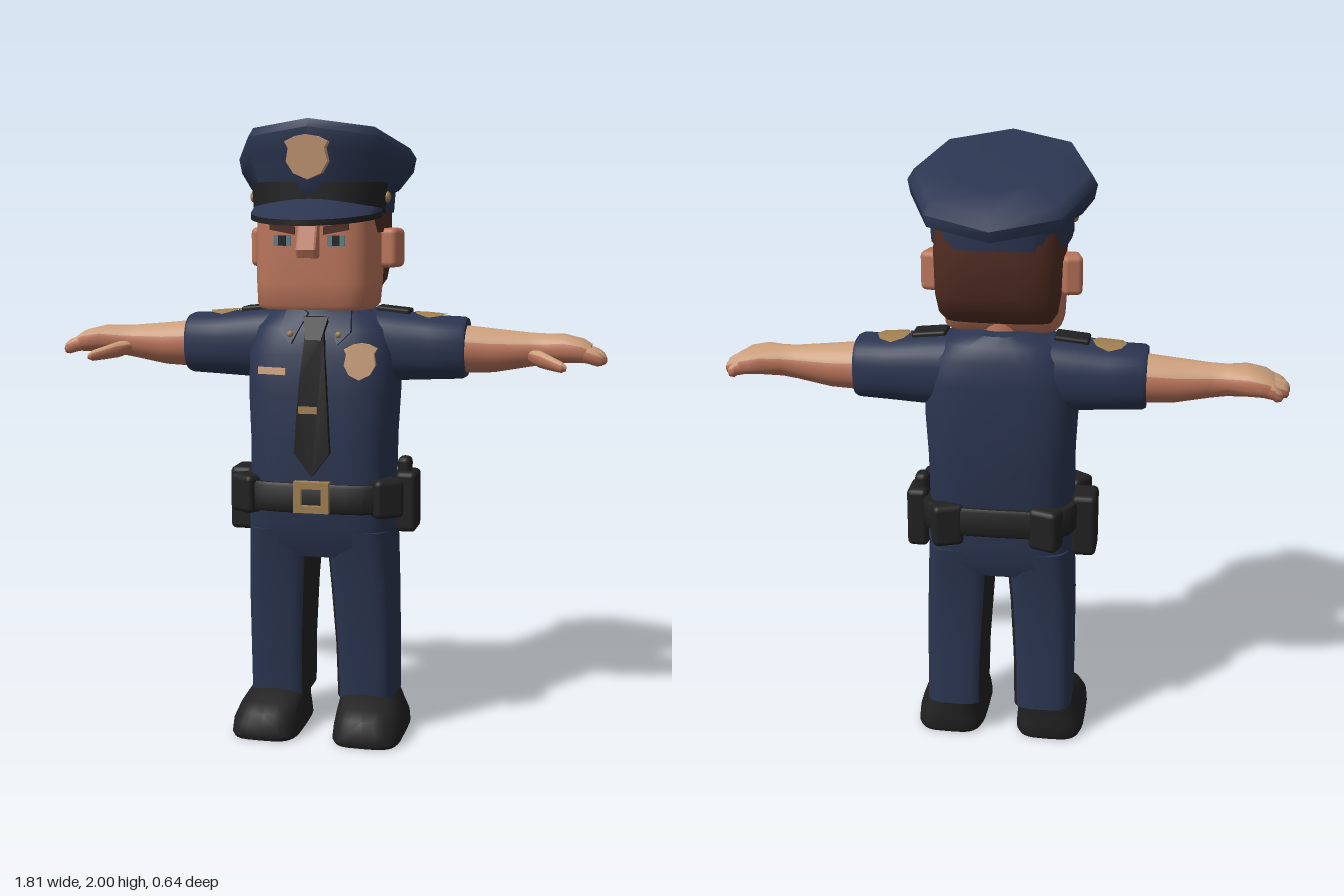
import * as THREE from 'three';
import { toCreasedNormals } from 'three/addons/utils/BufferGeometryUtils.js';
import { RoundedBoxGeometry } from 'three/addons/geometries/RoundedBoxGeometry.js';

const mat = (name, color, side = THREE.FrontSide) => {
  const m = new THREE.MeshStandardMaterial({ color, side });
  m.name = name;
  return m;
};
const navy = mat('navy', 0x2b3550), black = mat('black', 0x212121, THREE.DoubleSide), skin = mat('skin', 0xb9745a);
const tan = mat('tan', 0xcc9f7c), brown = mat('brown', 0x502c22), gold = mat('gold', 0xa08050, THREE.DoubleSide);
const teal = mat('eyeTeal', 0x5f7f84);

const pw = (v, e) => Math.sign(v) * Math.abs(v) ** (2 / e);

// Skin over superellipse rings [pos, centreA, centreB, radiusA, radiusB, exponent].
// axis y: A = x, B = z; axis x: A = z, B = y. pick(angle) true uses the second material.
function loft(axis, rings, { n = 32, pick = () => false, rule, crease = 0.7 } = {}) {
  const pos = [], lists = [[], []], last = (rings.length - 1) * n;
  const put = (p, a, b) => axis === 'y' ? pos.push(a, p, b) : pos.push(p, b, a);
  for (const [p, ca, cb, ra, rb, e = 2] of rings)
    for (let j = 0; j < n; j++) {
      const t = j / n * Math.PI * 2;
      put(p, ca + ra * pw(Math.cos(t), e), cb + rb * pw(Math.sin(t), e));
    }
  const lo = rings[0], hi = rings[rings.length - 1], c0 = pos.length / 3;
  put(lo[0], lo[1], lo[2]);
  put(hi[0], hi[1], hi[2]);
  for (let j = 0; j < n; j++) {
    const k = (j + 1) % n, out = lists[pick((j + 0.5) / n * Math.PI * 2) ? 1 : 0];
    for (let r = 0; r < last; r += n) out.push(r + j, r + n + j, r + k, r + k, r + n + j, r + n + k);
    out.push(c0, j, k, c0 + 1, last + k, last + j);
  }
  const g = new THREE.BufferGeometry();
  g.setAttribute('position', new THREE.Float32BufferAttribute(pos, 3));
  g.setIndex([...lists[0], ...lists[1]]);
  if (lists[1].length) {
    g.addGroup(0, lists[0].length, 0);
    g.addGroup(lists[0].length, lists[1].length, 1);
  }
  if (rule) bend(g, rule);
  return toCreasedNormals(g, crease);
}

// Move each vertex by a rule
function bend(g, rule) {
  const p = g.attributes.position, v = new THREE.Vector3();
  for (let i = 0; i < p.count; i++) {
    rule(v.fromBufferAttribute(p, i));
    p.setXYZ(i, v.x, v.y, v.z);
  }
  return g;
}

// Mirror across x, keeping faces outward
function mirrored(src) {
  const g = src.index ? src.toNonIndexed() : src.clone();
  g.scale(-1, 1, 1);
  for (const key of ['position', 'normal']) {
    const a = g.attributes[key].array;
    for (let i = 0; i < a.length; i += 9)
      for (let k = 3; k < 6; k++) [a[i + k], a[i + k + 3]] = [a[i + k + 3], a[i + k]];
  }
  return g;
}

// Flat outline extruded along z, then laid on a surface z(x, y)
function plate(pts, depth, surface) {
  const g = new THREE.ExtrudeGeometry(new THREE.Shape(pts.map(p => new THREE.Vector2(...p))), { depth, bevelEnabled: false });
  return toCreasedNormals(bend(g, v => { v.z += surface(v.x, v.y); }), 0.5);
}
const rect = (x, y, w, h) => [[x - w / 2, y - h / 2], [x + w / 2, y - h / 2], [x + w / 2, y + h / 2], [x - w / 2, y + h / 2]];
const shield = (x, y, w, h) => [[0, -0.5], [0.32, -0.36], [0.48, -0.1], [0.42, 0.2], [0.5, 0.34], [0.25, 0.46], [0, 0.5],
  [-0.25, 0.46], [-0.5, 0.34], [-0.42, 0.2], [-0.48, -0.1], [-0.32, -0.36]].map(([a, b]) => [x + a * w, y + b * h]);
const rbox = (x, y, z, w, h, d, ry = 0) => new RoundedBoxGeometry(w, h, d, 2, 0.018).rotateY(ry).translate(x, y, z);
const ball = (x, y, z, a, b, c) => new THREE.SphereGeometry(1, 16, 12).scale(a, b, c).translate(x, y, z);

const torso = [[0.84, 0, -0.015, 0.235, 0.165, 3.5], [1, 0, -0.025, 0.235, 0.175, 3.5], [1.15, 0, -0.03, 0.243, 0.172, 3.5],
  [1.27, 0, -0.035, 0.243, 0.165, 3.3], [1.35, 0, -0.045, 0.225, 0.15, 3], [1.395, 0, -0.05, 0.19, 0.125, 2.6], [1.425, 0, -0.05, 0.12, 0.1, 2]];

// Front z of the shirt
function chest(x, y) {
  let i = 0;
  while (i < torso.length - 2 && torso[i + 1][0] < y) i++;
  const t = Math.min(1, Math.max(0, (y - torso[i][0]) / (torso[i + 1][0] - torso[i][0])));
  const [, , cz, rx, rz, e] = torso[i].map((v, k) => v + (torso[i + 1][k] - v) * t);
  return cz + rz * Math.max(0, 1 - Math.abs(x / rx) ** e) ** (1 / e);
}

export function createModel() {
  const model = new THREE.Group();
  model.name = 'officer';
  const add = (name, g, m) => {
    const mesh = new THREE.Mesh(g, m);
    mesh.name = name;
    model.add(mesh);
  };
  const pair = (name, g, m) => {
    add(name + 'Left', g, m);
    add(name + 'Right', mirrored(g), m);
  };

  // Shoes, trousers
  pair('shoe', loft('y', [[0, 0.17, 0.015, 0.11, 0.172, 4], [0.012, 0.17, 0.015, 0.116, 0.178, 4], [0.05, 0.17, 0.013, 0.114, 0.176, 3.5],
    [0.085, 0.165, 0.005, 0.106, 0.165, 3], [0.105, 0.16, -0.02, 0.1, 0.14, 3], [0.14, 0.15, -0.05, 0.09, 0.11, 2.5]]), black);
  pair('trouserLeg', loft('y', [[0.12, 0.148, -0.055, 0.098, 0.115, 4], [0.3, 0.146, -0.045, 0.1, 0.118, 4], [0.5, 0.139, -0.03, 0.105, 0.127, 4],
    [0.62, 0.132, -0.028, 0.107, 0.142, 4], [0.7, 0.13, -0.025, 0.105, 0.155, 4]], { pick: t => Math.cos(t) < -0.72 }), [navy, black]);
  add('hips', loft('y', [[0.61, 0, -0.028, 0.2, 0.135, 4], [0.65, 0, -0.027, 0.236, 0.15, 4], [0.72, 0, -0.023, 0.24, 0.16, 4],
    [0.84, 0, -0.018, 0.238, 0.165, 4]]), navy);

  // Belt, buckle and pouches
  add('belt', loft('y', [[0.765, 0, -0.018, 0.25, 0.178, 3.8], [0.775, 0, -0.018, 0.256, 0.184, 3.8], [0.85, 0, -0.018, 0.256, 0.184, 3.8],
    [0.86, 0, -0.018, 0.25, 0.178, 3.8]]), black);
  const frame = new THREE.Shape(rect(0, 0.82, 0.115, 0.1).map(p => new THREE.Vector2(...p)));
  frame.holes.push(new THREE.Path(rect(0, 0.82, 0.065, 0.055).map(p => new THREE.Vector2(...p))));
  add('buckle', new THREE.ExtrudeGeometry(frame, { depth: 0.03, bevelEnabled: false }).translate(0, 0, 0.155), gold);
  pair('frontPouch', rbox(0.225, 0.815, 0.1, 0.1, 0.125, 0.09, 0.6), black);
  pair('backPouch', rbox(0.16, 0.8, -0.18, 0.1, 0.14, 0.07, 0.35), black);
  add('radioPouch', rbox(0.272, 0.78, -0.06, 0.07, 0.2, 0.115), black);
  add('radio', rbox(0.262, 0.88, -0.06, 0.045, 0.09, 0.06), black);
  add('holster', rbox(-0.275, 0.775, -0.04, 0.08, 0.21, 0.12), black);

  // Shirt, tie, collar and badges
  add('shirt', loft('y', torso), navy);
  const tie = [[0.03, 1.335], [0.042, 1.2], [0.05, 1.08], [0.057, 0.96]];
  const on = d => (x, y) => chest(x, y) + d;
  add('tie', plate([[0, 0.885], ...tie.slice().reverse(), ...tie.map(([x, y]) => [-x, y])], 0.03, on(-0.005)), black);
  add('tieKnot', plate([[0.025, 1.32], [0.04, 1.39], [-0.04, 1.39], [-0.025, 1.32]], 0.045, on(-0.01)), black);
  add('tieClip', plate(rect(-0.012, 1.1, 0.06, 0.022), 0.008, on(0.026)), gold);
  pair('collar', plate([[0.03, 1.4], [0.075, 1.305], [0.115, 1.345], [0.105, 1.41], [0.06, 1.42]], 0.03, on(-0.002)), navy);
  pair('collarPin', ball(0.078, 1.337, chest(0.078, 1.337) + 0.027, 0.01, 0.01, 0.008), gold);
  add('collarBand', loft('y', [[1.38, 0, -0.045, 0.14, 0.125, 2.3], [1.425, 0, -0.04, 0.115, 0.105, 2.3], [1.43, 0, -0.04, 0.1, 0.09, 2.3]]), navy);
  add('chestBadge', plate(shield(0.147, 1.253, 0.1, 0.115), 0.018, on(0.002)), tan);
  add('nameBar', plate(rect(-0.14, 1.217, 0.095, 0.022), 0.01, on(0.004)), tan);

  // Sleeves with epaulettes and patches
  pair('sleeve', loft('x', [[0.12, -0.055, 1.295, 0.115, 0.12, 2.5], [0.25, -0.058, 1.29, 0.114, 0.112, 2.5], [0.35, -0.057, 1.286, 0.106, 0.103, 2.5],
    [0.45, -0.056, 1.287, 0.104, 0.099, 2.5], [0.462, -0.056, 1.287, 0.098, 0.093, 2.5]]), navy);
  const patch = new THREE.RingGeometry(0.001, 0.064, 8, 5).rotateX(-Math.PI / 2).scale(0.85, 1, 1);
  bend(patch, v => {
    v.y = 1.293 - v.x * 0.07 + 0.105 * (1 - Math.abs(v.z / 0.108) ** 2.5) ** 0.4;
    v.x += 0.342;
    v.z -= 0.06;
  });
  patch.computeVertexNormals();
  pair('sleevePatch', patch, gold);
  pair('epaulette', new RoundedBoxGeometry(0.11, 0.022, 0.085, 2, 0.008).rotateZ(-0.1).translate(0.225, 1.404, -0.055), black);

  // Arms and hands, paler on top
  const top = { pick: t => Math.sin(t) > 0.4 };
  pair('arm', loft('x', [[0.44, -0.055, 1.283, 0.085, 0.078], [0.55, -0.055, 1.28, 0.075, 0.07], [0.66, -0.055, 1.285, 0.056, 0.055],
    [0.71, -0.055, 1.288, 0.056, 0.05], [0.77, -0.055, 1.292, 0.078, 0.045, 2.6], [0.83, -0.055, 1.285, 0.083, 0.037, 2.8],
    [0.855, -0.055, 1.278, 0.075, 0.028, 2.6]], top), [skin, tan]);
  [[-0.115, 0.88], [-0.075, 0.9], [-0.034, 0.905], [0.005, 0.895]].forEach(([z, tip], i) => {
    pair('finger' + (i + 1), loft('x', [[0.8, z, 1.286, 0.021, 0.026], [0.85, z, 1.276, 0.022, 0.026], [tip - 0.02, z, 1.267, 0.021, 0.024],
      [tip - 0.005, z, 1.262, 0.015, 0.017], [tip, z, 1.26, 0.006, 0.007]], { ...top, n: 14 }), [skin, tan]);
  });
  pair('thumb', loft('x', [[0.66, -0.02, 1.27, 0.02, 0.02], [0.7, 0.012, 1.262, 0.03, 0.027], [0.74, 0.045, 1.252, 0.024, 0.022],
    [0.77, 0.068, 1.245, 0.019, 0.018], [0.785, 0.075, 1.242, 0.008, 0.008]], { ...top, n: 14 }), [skin, tan]);

  // Head, hair and face
  add('neck', loft('y', [[1.36, 0, -0.03, 0.09, 0.085], [1.46, 0, -0.02, 0.09, 0.085]]), skin);
  add('head', loft('y', [[1.418, 0, 0.055, 0.176, 0.135, 4.2], [1.432, 0, 0.05, 0.186, 0.148, 4.2], [1.5, 0, 0.04, 0.19, 0.16, 4.2],
    [1.6, 0, 0.03, 0.19, 0.17, 4.2], [1.73, 0, 0.03, 0.188, 0.165, 4.2]]), skin);
  add('backHair', loft('y', [[1.47, 0, -0.11, 0.165, 0.045, 3], [1.5, 0, -0.12, 0.184, 0.075, 3], [1.56, 0, -0.125, 0.194, 0.093, 3],
    [1.68, 0, -0.12, 0.197, 0.112, 3], [1.77, 0, -0.12, 0.195, 0.105, 3]]), brown);
  add('topHair', loft('y', [[1.655, 0, -0.03, 0.196, 0.17, 3.4], [1.69, 0, -0.025, 0.2, 0.2, 3.6], [1.75, 0, -0.025, 0.198, 0.2, 3.4]]), brown);
  pair('ear', rbox(0.215, 1.605, -0.035, 0.065, 0.125, 0.085, -0.25), skin);
  const nose = new THREE.Shape([[-0.18, 1.7], [-0.18, 1.585], [-0.235, 1.588], [-0.243, 1.605], [-0.205, 1.7]].map(p => new THREE.Vector2(...p)));
  add('nose', new THREE.ExtrudeGeometry(nose, { depth: 0.05, bevelSize: 0.008, bevelThickness: 0.008, bevelSegments: 2 })
    .translate(0, 0, -0.025).rotateY(Math.PI / 2), skin);
  const face = d => () => 0.197 + d;
  pair('eye', plate(rect(0.085, 1.632, 0.055, 0.034), 0.006, face(0)), teal);
  pair('pupil', plate(rect(0.085, 1.632, 0.024, 0.032), 0.004, face(0.004)), black);
  pair('eyebrow', plate([[0.045, 1.65], [0.125, 1.665], [0.125, 1.69], [0.045, 1.675]], 0.009, face(0)), brown);

  // Cap: band, tilted eight-sided crown, visor, badge and buttons
  add('capBand', loft('y', [[1.715, 0, -0.018, 0.215, 0.216, 3], [1.81, 0, -0.018, 0.222, 0.218, 3]], { pick: t => Math.sin(t) > 0.2 }), [navy, black]);
  add('capCrown', loft('y', [[1.775, 0, -0.02, 0.225, 0.225], [1.79, 0, -0.022, 0.245, 0.235], [1.855, 0, -0.045, 0.283, 0.265],
    [1.9, 0, -0.045, 0.292, 0.277], [1.93, 0, -0.04, 0.272, 0.257], [1.942, 0, -0.04, 0.15, 0.14]],
  { n: 8, crease: 0.85, rule: v => { v.y += 0.33 * v.z * Math.min(1, Math.max(0, (v.y - 1.78) / 0.08)); } }), navy);
  const visor = bend(new THREE.PlaneGeometry(2, 3, 20, 3), v => {
    const t = v.x * 1.4, row = Math.round(1.5 - v.y), outer = row === 1 || row === 2;
    const c = Math.cos(t), s = Math.sin(t), drop = row > 1 ? 0.018 : 0;
    if (outer) v.set(0.213 * s, 1.725 - 0.028 * c - drop, 0.06 + 0.257 * c);
    else v.set(0.205 * s, 1.745 + 0.022 * c - drop, 0.04 + 0.145 * c);
  });
  visor.clearGroups();
  visor.addGroup(0, 120, 0);
  visor.addGroup(120, 240, 1);
  add('capVisor', toCreasedNormals(visor, 0.7), [navy, black]);
  add('capBadge', plate(shield(0, 1.885, 0.135, 0.135), 0.034, (x, y) => 0.188 + (y - 1.8) * 0.17), tan);
  pair('capButton', ball(0.216, 1.765, 0.05, 0.012, 0.018, 0.018), gold);
  return model;
}
